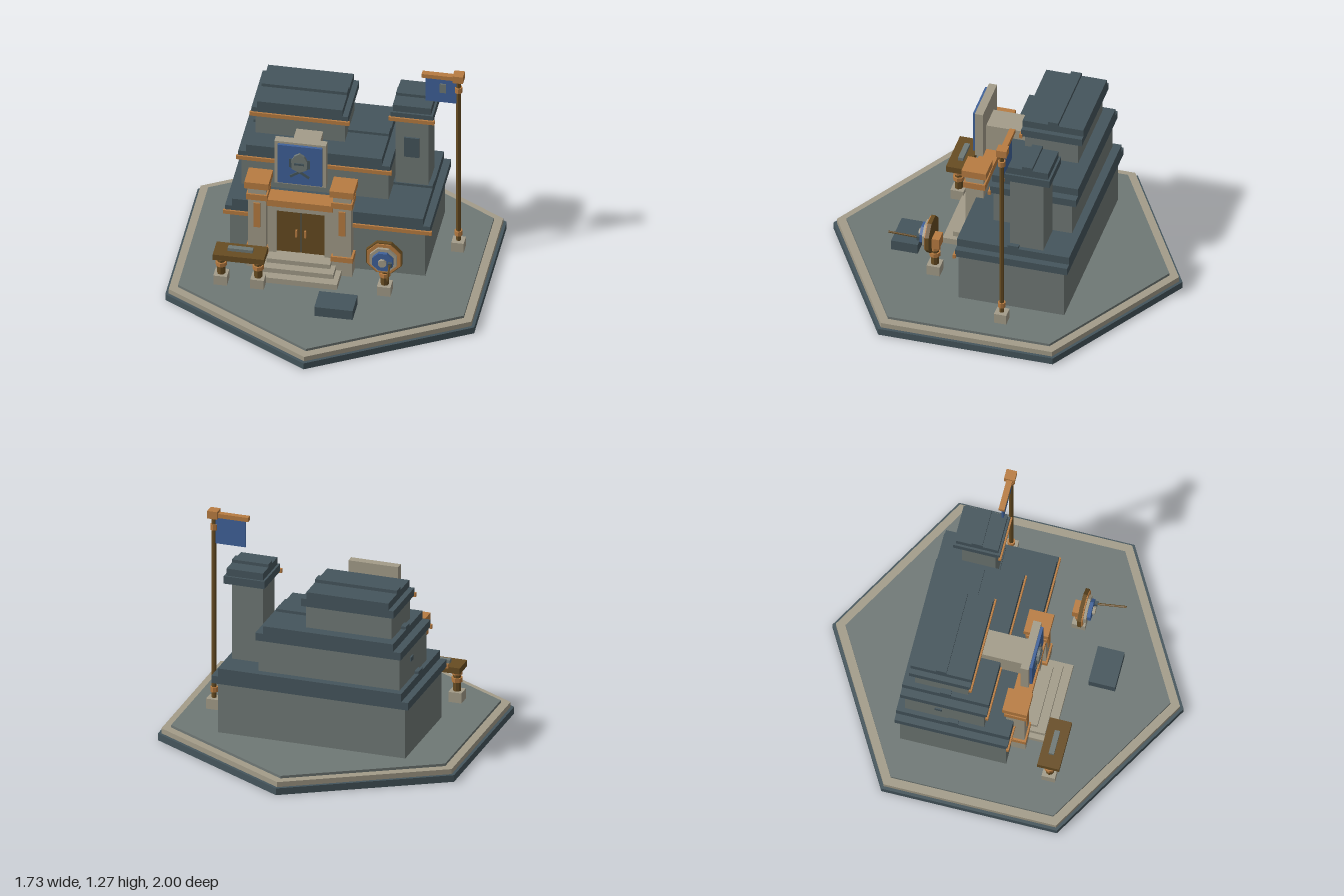
import * as THREE from 'three';

const mat = (name, color) => {
  const m = new THREE.MeshStandardMaterial({ color });
  m.name = name;
  m.flatShading = true;
  return m;
};

export function createModel() {
  const root = new THREE.Group();
  root.name = 'fortressHall';
  const slate = mat('slate', 0x45555c), stone = mat('stone', 0x6f7875), sand = mat('sandstone', 0xa39c89);
  const copper = mat('copper', 0xb87c41), wood = mat('wood', 0x674c22), blue = mat('blue cloth', 0x40629a);

  const add = (name, geo, m, parent = root) => {
    const mesh = new THREE.Mesh(geo, m);
    mesh.name = name;
    parent.add(mesh);
    return mesh;
  };
  // Box given by its limits on each axis
  const box = (name, m, x0, x1, y0, y1, z0, z1, parent) => {
    const mesh = add(name, new THREE.BoxGeometry(x1 - x0, y1 - y0, z1 - z0), m, parent);
    mesh.position.set((x0 + x1) / 2, (y0 + y1) / 2, (z0 + z1) / 2);
    return mesh;
  };
  // Upright prism standing between two heights
  const post = (name, m, r, x, y0, y1, z, sides = 8, parent) => {
    const mesh = add(name, new THREE.CylinderGeometry(r, r, y1 - y0, sides), m, parent);
    mesh.position.set(x, (y0 + y1) / 2, z);
    return mesh;
  };
  const group = (name) => {
    const g = new THREE.Group();
    g.name = name;
    root.add(g);
    return g;
  };

  // Hexagonal plinth
  post('plinthFoot', slate, 1, 0, 0, 0.04, 0, 6);
  post('plinthRim', sand, 0.98, 0, 0.04, 0.07, 0, 6);
  post('plinthFloor', stone, 0.925, 0, 0.06, 0.085, 0, 6);

  // Storeys: body, two roof slabs, ridge and front trim
  const storey = (name, body, roof, inset, zInset, y0, y1, top, ridgeTop) => {
    const g = group(name);
    const [x0, x1, z0, z1] = roof, mid = (z0 + z1) / 2;
    box('walls', stone, body[0], body[1], y0, y1, body[2], body[3], g);
    box('roofSlab', slate, x0, x1, y1, y1 + 0.045, z0, z1, g);
    box('roofTop', slate, x0 + inset, x1 - inset, y1 + 0.045, top, z0 + zInset, z1 - zInset, g);
    box('roofRidge', slate, x0 + inset, x1 - inset, top, ridgeTop, mid - 0.03, mid + 0.03, g);
    box('roofTrim', copper, x0 - 0.01, x1 + 0.01, y1 - 0.008, y1 + 0.016, z1 - 0.006, z1 + 0.01, g);
  };
  storey('lowerStorey', [-0.57, 0.525, -0.47, 0.135], [-0.595, 0.555, -0.495, 0.148], 0.04, 0, 0.085, 0.387, 0.48, 0.495);
  storey('middleStorey', [-0.53, 0.295, -0.45, 0.0], [-0.545, 0.305, -0.475, 0.018], 0.045, 0, 0.48, 0.672, 0.763, 0.779);
  storey('upperStorey', [-0.47, 0.03, -0.41, -0.105], [-0.49, 0.05, -0.437, -0.09], 0.03, 0, 0.763, 0.9, 0.987, 1.006);
  storey('tower', [0.307, 0.49, -0.34, -0.15], [0.284, 0.521, -0.385, -0.12], 0.012, 0.012, 0.48, 0.945, 1.032, 1.05);
  box('towerWindow', slate, 0.355, 0.44, 0.68, 0.81, -0.15, -0.14);
  box('sideVent', slate, -0.538, -0.53, 0.585, 0.61, -0.28, -0.24);

  // Gate columns
  for (const x of [-0.405, 0.072]) {
    const g = group('gateColumn');
    const block = (name, m, w, d, y0, y1) => box(name, m, x - w, x + w, y0, y1, 0.158 - d, 0.158 + d, g);
    block('columnBase', sand, 0.058, 0.06, 0.085, 0.177);
    block('lowerBand', copper, 0.062, 0.062, 0.177, 0.21);
    block('columnShaft', sand, 0.05, 0.052, 0.21, 0.54);
    block('upperBand', copper, 0.059, 0.062, 0.54, 0.577);
    block('columnNeck', sand, 0.05, 0.052, 0.577, 0.62);
    block('columnCap', copper, 0.068, 0.07, 0.62, 0.662);
    box('columnPanel', copper, x - 0.019, x + 0.019, 0.355, 0.518, 0.205, 0.218, g);
  }

  // Doorway, with stairs
  const cx = -0.165;
  const door = group('doorway');
  for (const s of [-1, 1]) {
    const a = cx + s * 0.135, b = cx + s * 0.185;
    box('doorJamb', sand, Math.min(a, b), Math.max(a, b), 0.085, 0.505, 0.12, 0.19, door);
    const c = cx + s * 0.003, d = cx + s * 0.135;
    box('doorLeaf', wood, Math.min(c, d), Math.max(c, d), 0.175, 0.463, 0.13, 0.172, door);
    box('doorHandle', copper, cx + s * 0.025 - 0.005, cx + s * 0.025 + 0.005, 0.29, 0.335, 0.17, 0.185, door);
  }
  box('doorGap', slate, cx - 0.004, cx + 0.004, 0.175, 0.463, 0.13, 0.165, door);
  box('doorHead', sand, cx - 0.185, cx + 0.185, 0.463, 0.508, 0.12, 0.19, door);
  box('lintel', copper, cx - 0.185, cx + 0.185, 0.505, 0.547, 0.11, 0.212, door);
  [[0.235, 0.12, 0.355], [0.205, 0.15, 0.305], [0.178, 0.178, 0.255]].forEach(([w, y, z]) =>
    box('step', sand, cx - w, cx + w, 0.085, y, 0.13, z, door));

  // Banner board and its support beam
  const banner = group('banner');
  box('supportBeam', sand, -0.24, -0.09, 0.66, 0.822, -0.1, 0.155, banner);
  box('bannerBoard', sand, -0.31, -0.02, 0.658, 0.943, 0.15, 0.196, banner);
  box('bannerCloth', blue, -0.29, -0.04, 0.674, 0.93, 0.196, 0.212, banner);

  // Helmet relief over crossed bars
  for (const s of [-1, 1]) {
    const bar = box('crossedBar', slate, -0.064, 0.064, -0.007, 0.007, 0.21, 0.218, banner);
    bar.position.x = cx;
    bar.position.y = 0.762;
    bar.rotation.z = s * 0.6;
    box('cheekPlate', slate, cx + s * 0.046 - 0.012, cx + s * 0.046 + 0.012, 0.79, 0.845, 0.21, 0.218, banner);
  }
  const helm = new THREE.Shape([[-0.042, 0.785], [0, 0.765], [0.042, 0.785], [0.045, 0.84], [0.028, 0.872], [0, 0.89],
    [-0.028, 0.872], [-0.045, 0.84]].map(([x, y]) => new THREE.Vector2(x, y)));
  const helmet = add('helmetRelief', new THREE.ExtrudeGeometry(helm, { depth: 0.018, bevelEnabled: false }), stone, banner);
  helmet.position.set(cx, 0, 0.21);
  box('visorSlot', slate, cx - 0.028, cx + 0.028, 0.818, 0.83, 0.227, 0.234, banner);

  // Stone-footed wooden stand
  const stand = (x, z, top, parent) => {
    box('standFoot', sand, x - 0.038, x + 0.038, 0.085, 0.145, z - 0.038, z + 0.038, parent);
    post('standPost', wood, 0.023, x, 0.145, top, z, 8, parent);
    post('standLowerRing', copper, 0.032, x, 0.2, 0.225, z, 8, parent);
    post('standUpperRing', copper, 0.032, x, 0.245, 0.27, z, 8, parent);
  };

  // Work table
  const table = group('table');
  stand(-0.573, 0.385, 0.272, table);
  stand(-0.366, 0.385, 0.272, table);
  box('tableTop', wood, -0.61, -0.323, 0.27, 0.306, 0.322, 0.447, table);
  box('tablePlate', stone, -0.535, -0.395, 0.306, 0.325, 0.368, 0.398, table);

  // Round target on a stand, with a bolt stuck in it
  const target = group('target');
  stand(0.333, 0.325, 0.28, target);
  box('targetBracket', copper, 0.295, 0.372, 0.27, 0.335, 0.29, 0.345, target);
  [['targetBack', wood, 0.109, 0.333, 0.355], ['targetRim', copper, 0.102, 0.35, 0.362],
    ['targetOuter', sand, 0.081, 0.355, 0.378], ['targetInner', blue, 0.062, 0.375, 0.398],
    ['targetBoss', sand, 0.024, 0.395, 0.414]].forEach(([name, m, r, z0, z1]) => {
    const geo = new THREE.CylinderGeometry(r, r, z1 - z0, 8).rotateY(Math.PI / 8).rotateX(Math.PI / 2);
    add(name, geo, m, target).position.set(0.333, 0.34, (z0 + z1) / 2);
  });
  const from = new THREE.Vector3(0.373, 0.333, 0.39), to = new THREE.Vector3(0.392, 0.352, 0.575);
  const bolt = add('bolt', new THREE.CylinderGeometry(0.006, 0.006, from.distanceTo(to), 6), wood, target);
  bolt.position.copy(from).lerp(to, 0.5);
  bolt.quaternion.setFromUnitVectors(new THREE.Vector3(0, 1, 0), to.clone().sub(from).normalize());
  box('boltCollar', slate, 0.365, 0.388, 0.322, 0.348, 0.396, 0.415, target);

  // Flagpole
  const flag = group('flagpole');
  box('poleFoot', sand, 0.625, 0.695, 0.085, 0.145, -0.185, -0.115, flag);
  post('pole', wood, 0.014, 0.66, 0.145, 1.24, -0.15, 8, flag);
  post('poleLowerRing', copper, 0.022, 0.66, 0.18, 0.21, -0.15, 8, flag);
  post('poleUpperRing', copper, 0.022, 0.66, 1.155, 1.188, -0.15, 8, flag);
  box('poleCap', copper, 0.631, 0.689, 1.23, 1.275, -0.184, -0.124, flag);
  box('flagArm', copper, 0.455, 0.64, 1.235, 1.26, -0.17, -0.137, flag);
  box('flagCloth', blue, 0.475, 0.668, 1.076, 1.238, -0.158, -0.146, flag);
  box('flagPatch', stone, 0.556, 0.59, 1.143, 1.202, -0.147, -0.14, flag);

  // Paving block by the stairs
  box('groundBlock', slate, -0.01, 0.205, 0.085, 0.145, 0.46, 0.612);

  return root;
}
